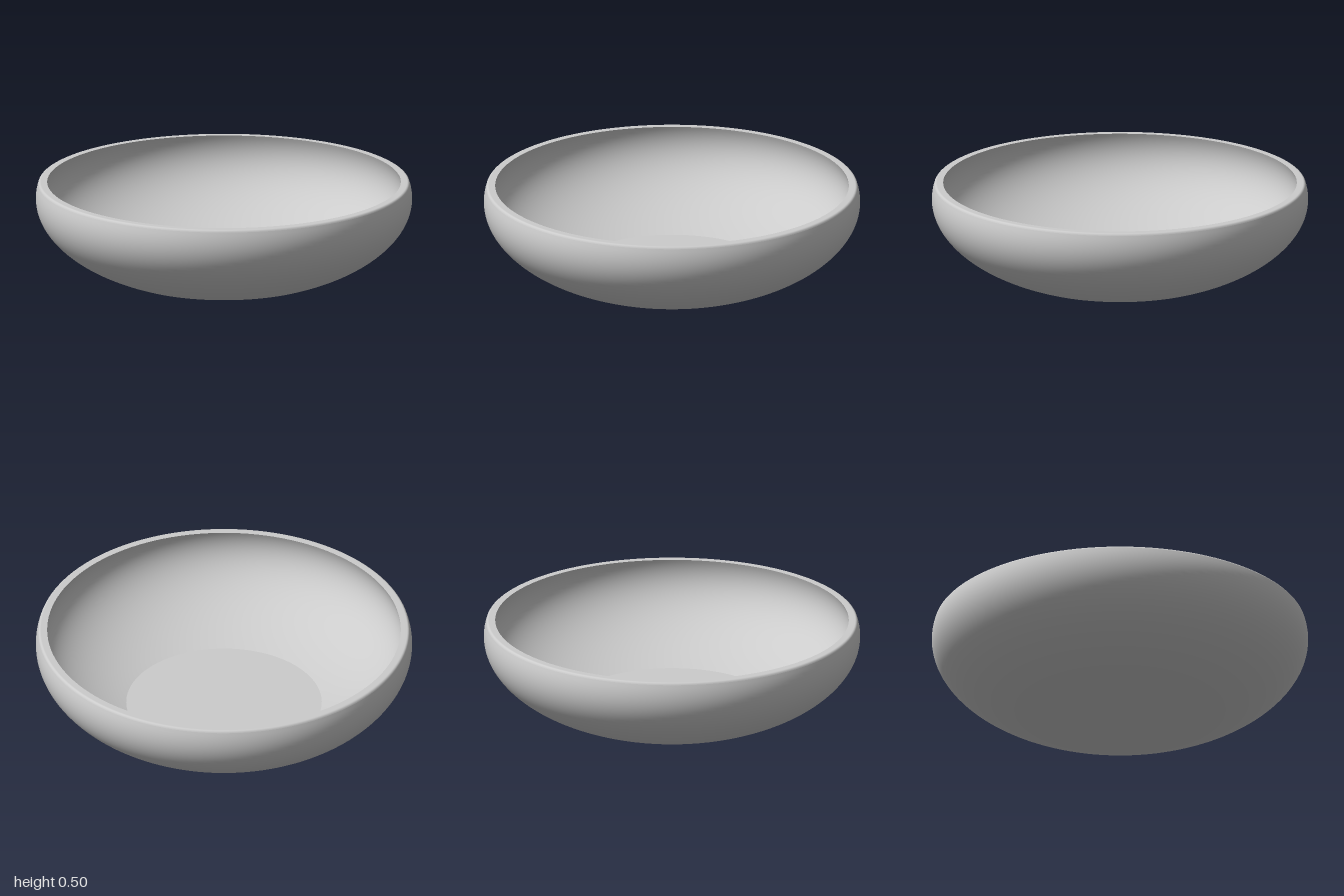
import * as THREE from 'three';

const SEGMENTS = 128;
const CENTRE_Y = 0.41; // height of the widest point
const TOP = 0.5;

// Points on an elliptical wall of half-width a and half-height b, from y0 to y1
function wallArc(a, b, y0, y1, steps = 32) {
  const t0 = Math.asin((y0 - CENTRE_Y) / b);
  const t1 = Math.asin((y1 - CENTRE_Y) / b);
  return Array.from({ length: steps + 1 }, (_, i) => {
    const t = t0 + (t1 - t0) * i / steps;
    return new THREE.Vector2(a * Math.cos(t), CENTRE_Y + b * Math.sin(t));
  });
}

export function createModel() {
  const bowl = new THREE.Group();
  bowl.name = 'bowl';
  const material = new THREE.MeshStandardMaterial({ color: 0xcccccc });

  // Each surface is its own lathe, so the edges between them stay sharp
  function addLathe(name, points) {
    const mesh = new THREE.Mesh(new THREE.LatheGeometry(points, SEGMENTS), material);
    mesh.name = name;
    bowl.add(mesh);
  }

  const outer = wallArc(1, 0.495, 0, TOP - 0.012);
  const inner = wallArc(0.96, 0.44, TOP, 0.04);
  const base = outer[0], lip = outer[outer.length - 1];
  const mouth = inner[0], floor = inner[inner.length - 1];

  // Flat underside and curved outer wall
  addLathe('underside', [new THREE.Vector2(0, 0), base]);
  addLathe('outerWall', outer);

  // Softened outer lip running into the flat rim
  const lipCurve = new THREE.QuadraticBezierCurve(
    lip, new THREE.Vector2(lip.x - 0.004, TOP), new THREE.Vector2(lip.x - 0.015, TOP));
  addLathe('rim', [...lipCurve.getPoints(6), mouth]);

  // Curved inner wall and flat inner floor
  addLathe('innerWall', inner);
  addLathe('innerFloor', [floor, new THREE.Vector2(0, floor.y)]);

  return bowl;
}
